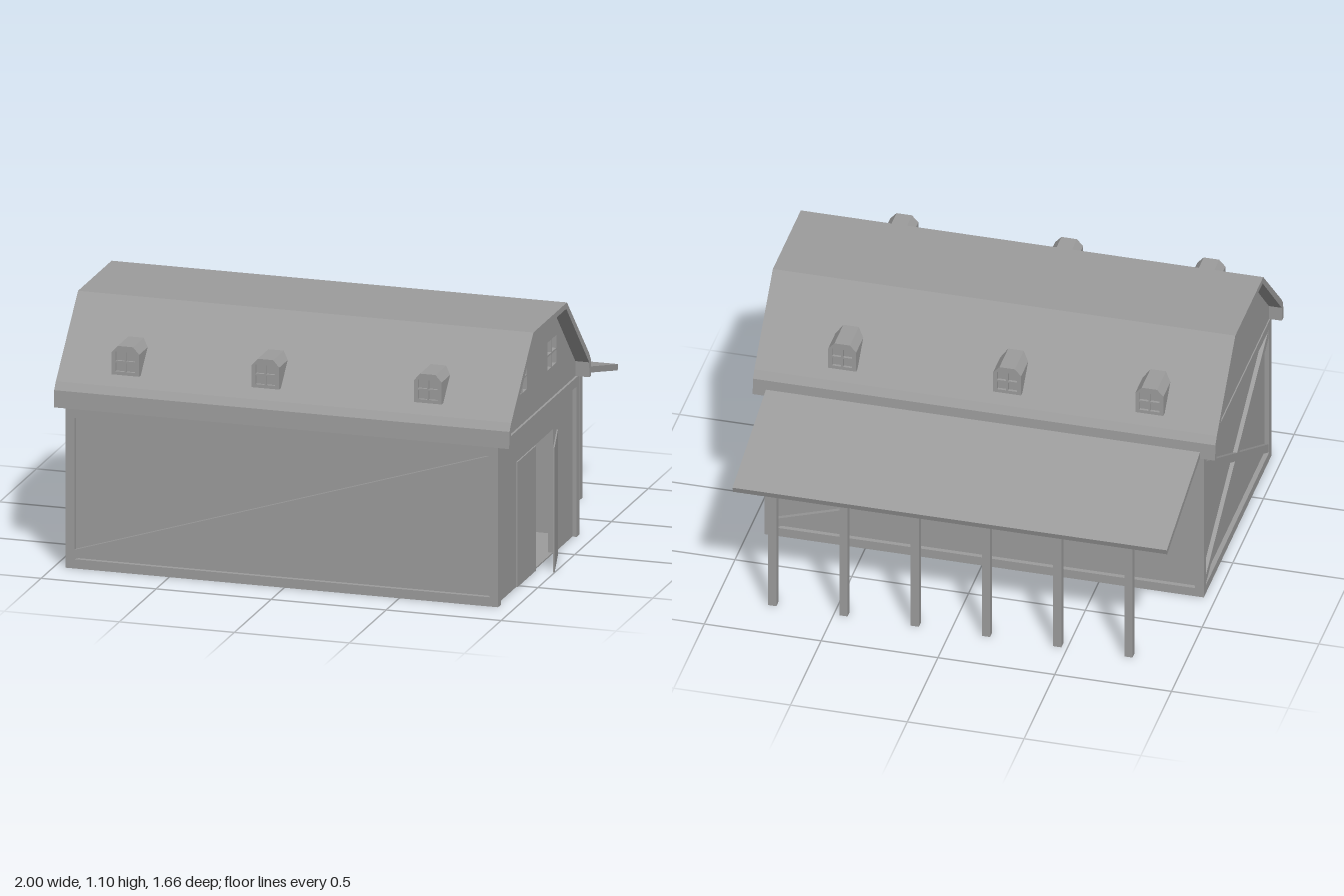
import * as THREE from 'three';

const material = new THREE.MeshStandardMaterial({ color: 0x9c9c9c, flatShading: true, side: THREE.DoubleSide });
const MID = 0.27; // z of the barn's ridge line

const toPoints = (list) => list.map(([x, y]) => new THREE.Vector2(x, y));
const polygon = (list, holes = []) => {
  const shape = new THREE.Shape(toPoints(list));
  holes.forEach((h) => shape.holes.push(new THREE.Path(toPoints(h))));
  return shape;
};
const rect = (x0, y0, x1, y1) => [[x0, y0], [x1, y0], [x1, y1], [x0, y1]];

function add(parent, name, geometry) {
  const mesh = new THREE.Mesh(geometry, material);
  mesh.name = name;
  parent.add(mesh);
  return mesh;
}

// Slab of a shape between two depths, facing +z
function slab(shape, z0, z1) {
  return new THREE.ExtrudeGeometry(shape, { depth: z1 - z0, bevelEnabled: false }).translate(0, 0, z0);
}

// Slab turned to face +x; shape x runs towards -z, measured from the ridge line
function endSlab(shape, x0, x1) {
  return slab(shape, x0, x1).rotateY(Math.PI / 2).translate(0, 0, MID);
}

function box(x0, x1, y0, y1, z0, z1) {
  return new THREE.BoxGeometry(x1 - x0, y1 - y0, z1 - z0)
    .translate((x0 + x1) / 2, (y0 + y1) / 2, (z0 + z1) / 2);
}

// Four pane openings of a window centred on (cx, cy)
function panes(cx, cy, size) {
  const bar = 0.004, half = size / 2, out = [];
  for (const sx of [-1, 1]) for (const sy of [-1, 1]) {
    const xs = [cx + sx * bar, cx + sx * half].sort((a, b) => a - b);
    const ys = [cy + sy * bar, cy + sy * half].sort((a, b) => a - b);
    out.push(rect(xs[0], ys[0], xs[1], ys[1]));
  }
  return out;
}

// Recessed panel with a raised border and diagonal braces, outer face at z = 0
function framedWall(name, width, braces) {
  const w = width / 2, i = w - 0.038, h = 0.69;
  const wall = new THREE.Group();
  wall.name = name;
  add(wall, 'panel', slab(polygon(rect(-w + 0.02, 0, w - 0.02, h)), -0.04, -0.02));
  add(wall, 'border', slab(polygon(rect(-w, 0, w, h), [rect(-i, 0.04, i, 0.65)]), -0.02, 0));
  for (const s of braces) {
    add(wall, 'brace', slab(polygon([[-s * i, 0.04], [s * i, 0.61], [s * i, 0.65], [-s * i, 0.08]]), -0.02, -0.002));
  }
  return wall;
}

// Dormer facing +z, sitting on the steep roof slope
function dormer(x) {
  const g = new THREE.Group();
  g.name = 'dormer';
  const outline = [[-0.06, 0.84], [0.06, 0.84], [0.06, 0.935], [0.033, 0.965], [-0.033, 0.965], [-0.06, 0.935]];
  add(g, 'dormerBody', slab(polygon(outline), 0.33, 0.495));
  add(g, 'dormerWindow', slab(polygon(outline, panes(0, 0.897, 0.085)), 0.495, 0.507));
  g.position.x = x;
  return g;
}

export function createModel() {
  const barn = new THREE.Group();
  barn.name = 'barn';

  // Long walls and the cross-braced end wall
  const front = framedWall('frontWall', 1.88, [1]);
  front.position.set(-0.01, 0, 0.822);
  const back = framedWall('backWall', 1.88, [1]);
  back.position.set(-0.01, 0, -0.282);
  back.rotation.y = Math.PI;
  const left = framedWall('crossBracedEndWall', 1.104, [1, -1]);
  left.position.set(-0.95, 0, MID);
  left.rotation.y = -Math.PI / 2;
  barn.add(front, back, left);

  // Door end: wall with an open doorway, border of two posts and a beam
  add(barn, 'doorEndWall', endSlab(polygon(
    [[-0.53, 0], [0, 0], [0, 0.54], [0.25, 0.54], [0.25, 0], [0.53, 0], [0.53, 0.69], [-0.53, 0.69]]), 0.89, 0.912));
  add(barn, 'doorEndBorder', endSlab(polygon(
    [[-0.552, 0], [-0.515, 0], [-0.515, 0.65], [0.515, 0.65], [0.515, 0], [0.552, 0], [0.552, 0.69], [-0.552, 0.69]]), 0.91, 0.93));
  add(barn, 'closedDoor', box(0.9, 0.918, 0, 0.54, MID, MID + 0.25));
  const openDoor = add(barn, 'openDoor', box(-0.003, 0.003, 0, 0.54, 0, 0.258));
  openDoor.position.set(0.931, 0, 0.02);
  openDoor.rotation.y = 0.255;
  add(barn, 'floor', box(-0.945, 0.91, 0, 0.006, -0.275, 0.815));

  // Gambrel roof shell, with the attic filling it
  const mirrored = (half) => [...half, ...half.map(([d, y]) => [-d, y]).reverse()];
  const outer = mirrored([[0.558, 0.69], [0.553, 0.763], [0.53, 0.795], [0.228, 1.1]]);
  const inner = mirrored([[0.532, 0.69], [0.53, 0.755], [0.513, 0.772], [0.218, 1.075]]);
  add(barn, 'roof', endSlab(polygon([...outer, ...[...inner].reverse()]), -1, 0.98));
  add(barn, 'attic', endSlab(polygon(inner), -0.945, 0.885));
  const gableWindows = [-0.19, 0.21].flatMap((u) => panes(u, 0.882, 0.12));
  add(barn, 'gableWithWindows', endSlab(polygon(inner, gableWindows), 0.885, 0.92));

  // Three dormers on each slope
  for (const side of [1, -1]) {
    const row = new THREE.Group();
    row.name = side > 0 ? 'frontDormers' : 'backDormers';
    for (const x of [-0.705, -0.096, 0.61]) row.add(dormer(side * x));
    row.position.z = MID;
    row.rotation.y = side > 0 ? 0 : Math.PI;
    barn.add(row);
  }

  // Lean-to roof on a row of posts
  add(barn, 'leanToRoof', endSlab(polygon(
    [[0.54, 0.698], [1.092, 0.555], [1.1, 0.58], [0.54, 0.724]]), -0.935, 0.924));
  for (let i = 0; i < 6; i++) {
    const x = 0.763 - i * 0.305;
    add(barn, 'leanToPost', box(x - 0.0175, x + 0.0175, 0, 0.572, -0.795, -0.76));
  }
  return barn;
}
